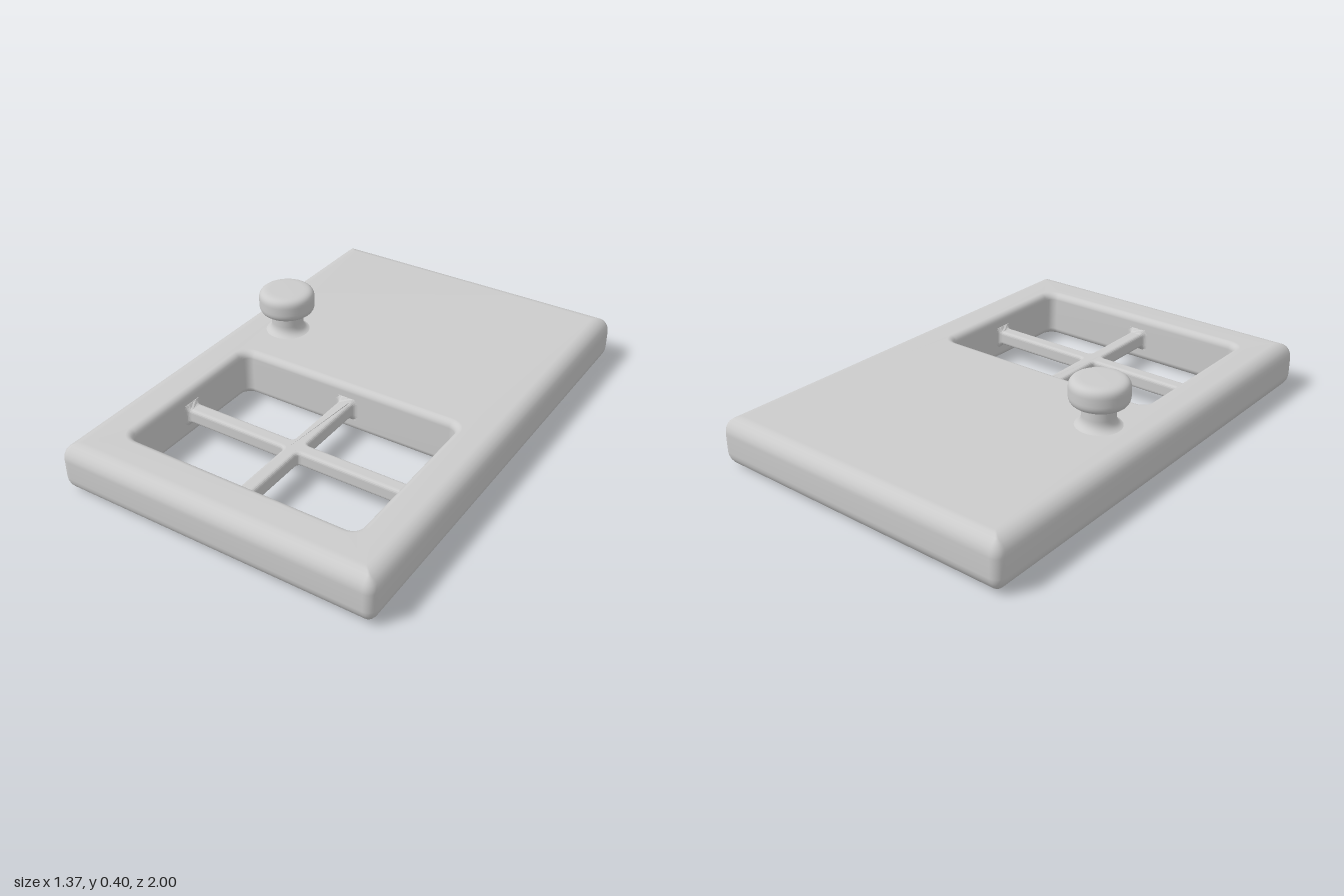
import * as THREE from 'three';

const HEIGHT = 0.207;
const DOOR = { hx: 0.685, hz: 1, cz: 0, r: 0.04, bevel: 0.065 };
const WINDOW = { hx: 0.505, hz: 0.358, cz: 0.4525, r: 0.04, bevel: 0.03 };
const material = new THREE.MeshStandardMaterial({ color: 0xcccccc });

function mesh(name, geometry) {
  const m = new THREE.Mesh(geometry, material);
  m.name = name;
  return m;
}

// Rounded rectangle lying flat at height y
function ring(hx, hz, cz, r, y, steps = 6) {
  const points = [];
  const signs = [[1, 1], [-1, 1], [-1, -1], [1, -1]];
  signs.forEach(([sx, sz], q) => {
    for (let i = 0; i <= steps; i++) {
      const a = (q + i / steps) * Math.PI / 2;
      points.push([sx * (hx - r) + r * Math.cos(a), y, cz + sz * (hz - r) + r * Math.sin(a)]);
    }
  });
  return points;
}

// Rounded edge profile from bottom to top: [inset, y]
function edgeProfile(b, steps = 6) {
  const profile = [];
  for (let i = 0; i <= steps; i++) {
    const a = (i / steps) * Math.PI / 2;
    profile.push([b * (1 - Math.sin(a)), b * (1 - Math.cos(a))]);
  }
  return profile.concat(profile.map(([e, y]) => [e, HEIGHT - y]).reverse());
}

// Slab: rings run up the outside, across the top, down the window and back
function slabGeometry() {
  const outer = edgeProfile(DOOR.bevel).map(([e, y]) =>
    ring(DOOR.hx - e, DOOR.hz - e, DOOR.cz, Math.max(DOOR.r - e, 0.004), y));
  const inner = edgeProfile(WINDOW.bevel).reverse().map(([e, y]) =>
    ring(WINDOW.hx + e, WINDOW.hz + e, WINDOW.cz, WINDOW.r + e, y));
  const rings = [...outer, ...inner];
  const n = rings[0].length;
  const index = [];
  rings.forEach((_, i) => {
    const a = i * n, b = ((i + 1) % rings.length) * n;
    for (let j = 0; j < n; j++) {
      const k = (j + 1) % n;
      index.push(a + j, b + j, a + k, b + j, b + k, a + k);
    }
  });
  const g = new THREE.BufferGeometry();
  g.setAttribute('position', new THREE.Float32BufferAttribute(rings.flat(2), 3));
  g.setIndex(index);
  g.computeVertexNormals();
  return g;
}

// Window bars: cross with filleted crossing and flared ends
function barsGeometry() {
  const w = 0.031, r = 0.018, f = 0.022, sink = 0.012, b = 0.014;
  const hx = WINDOW.hx, hz = WINDOW.hz, depth = 0.064;
  const path = new THREE.Path();
  path.moveTo(hx + sink, w + f);
  path.lineTo(hx, w + f);
  path.quadraticCurveTo(hx, w, hx - f, w);
  path.lineTo(w + r, w);
  path.quadraticCurveTo(w, w, w, w + r);
  path.lineTo(w, hz - f);
  path.quadraticCurveTo(w, hz, w + f, hz);
  path.lineTo(w + f, hz + sink);
  const quarter = path.getPoints(6);
  const outline = [];
  for (const [sx, sy] of [[1, 1], [-1, 1], [-1, -1], [1, -1]]) {
    const part = quarter.map(p => new THREE.Vector2(p.x * sx, p.y * sy));
    outline.push(...(sx * sy > 0 ? part : part.reverse()));
  }
  const g = new THREE.ExtrudeGeometry(new THREE.Shape(outline), {
    depth: depth - 2 * b, bevelEnabled: true, bevelThickness: b, bevelSize: b,
    bevelOffset: -b, bevelSegments: 4,
  });
  g.translate(0, 0, b - depth / 2);
  // Flare the ends vertically too
  const p = g.attributes.position;
  for (let i = 0; i < p.count; i++) {
    const d = Math.min(hx - Math.abs(p.getX(i)), hz - Math.abs(p.getY(i)));
    const t = THREE.MathUtils.clamp(1 - d / f, 0, 1);
    p.setZ(i, p.getZ(i) * (1 + 0.6 * t * t));
  }
  g.rotateX(Math.PI / 2);
  g.computeVertexNormals();
  return g;
}

// Knob: flared neck and a round-edged head
function knobGeometry() {
  const path = new THREE.Path();
  path.moveTo(0.108, HEIGHT - 0.004);
  path.quadraticCurveTo(0.067, HEIGHT + 0.002, 0.067, 0.248);
  path.lineTo(0.067, 0.285);
  path.quadraticCurveTo(0.067, 0.294, 0.076, 0.294);
  path.lineTo(0.082, 0.294);
  path.quadraticCurveTo(0.118, 0.296, 0.118, 0.332);
  path.lineTo(0.118, 0.362);
  path.quadraticCurveTo(0.118, 0.397, 0.082, 0.399);
  path.lineTo(0.07, 0.4);
  path.lineTo(0, 0.4);
  return new THREE.LatheGeometry(path.getPoints(8), 48);
}

export function createModel() {
  const group = new THREE.Group();
  group.name = 'door';

  group.add(mesh('doorSlab', slabGeometry()));

  const bars = mesh('windowBars', barsGeometry());
  bars.position.set(0, HEIGHT / 2, WINDOW.cz);
  group.add(bars);

  const knob = mesh('doorKnob', knobGeometry());
  knob.position.set(-0.462, 0, -0.153);
  group.add(knob);

  return group;
}
